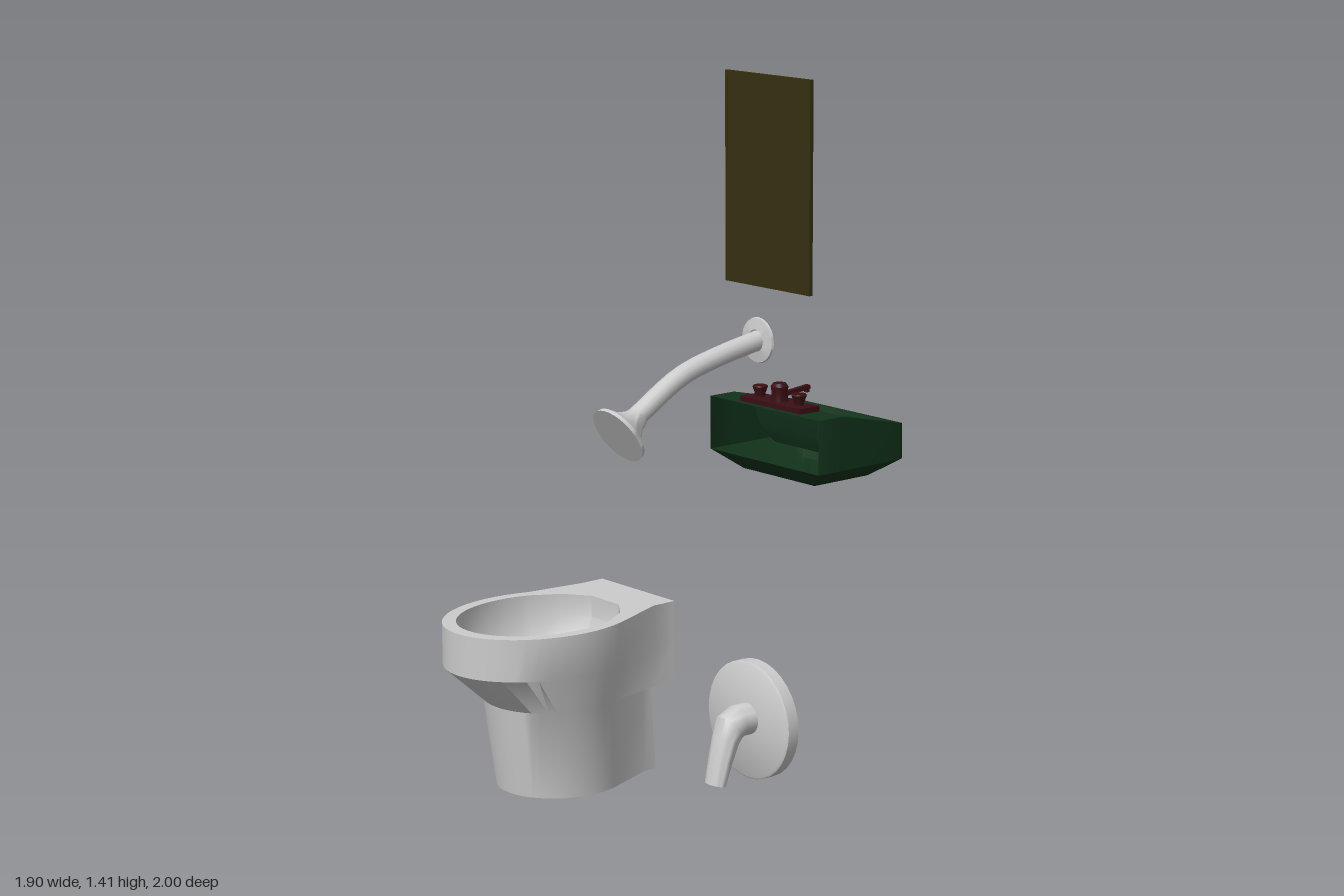
import * as THREE from 'three';
import { toCreasedNormals } from 'three/addons/utils/BufferGeometryUtils.js';

const V = (x, y, z) => new THREE.Vector3(x, y, z);
const material = (color) => new THREE.MeshStandardMaterial({ color, side: THREE.DoubleSide });
const grey = material(0xcccccc);
const green = material(0x12331a);
const red = material(0x3a0f14);
const olive = material(0x343010);

function add(parent, name, geometry, mat, x = 0, y = 0, z = 0) {
  const mesh = new THREE.Mesh(geometry, mat);
  mesh.name = name;
  mesh.position.set(x, y, z);
  parent.add(mesh);
  return mesh;
}

function addGroup(parent, name) {
  const g = new THREE.Group();
  g.name = name;
  parent.add(g);
  return g;
}

// Skins closed rings of equal length; skip(layer, i) leaves a quad open.
function loft(rings, { capStart = false, capEnd = false, skip = () => false, crease = 0.6 } = {}) {
  const pos = [];
  const tri = (...pts) => pts.forEach((p) => pos.push(p.x, p.y, p.z));
  const n = rings[0].length;
  for (let k = 0; k < rings.length - 1; k++) {
    for (let i = 0; i < n; i++) {
      const j = (i + 1) % n;
      const [a, b, c, d] = [rings[k][i], rings[k][j], rings[k + 1][j], rings[k + 1][i]];
      if (skip(k, i) || (a.distanceTo(d) < 1e-5 && b.distanceTo(c) < 1e-5)) continue;
      tri(a, b, c);
      tri(a, c, d);
    }
  }
  const cap = (ring, flip) => {
    const mid = ring.reduce((s, p) => s.add(p), V(0, 0, 0)).divideScalar(n);
    ring.forEach((p, i) => {
      const q = ring[(i + 1) % n];
      if (flip) tri(mid, q, p); else tri(mid, p, q);
    });
  };
  if (capStart) cap(rings[0], true);
  if (capEnd) cap(rings[rings.length - 1], false);
  const g = new THREE.BufferGeometry();
  g.setAttribute('position', new THREE.Float32BufferAttribute(pos, 3));
  return toCreasedNormals(g, crease);
}

const lathe = (pts, seg = 32) =>
  toCreasedNormals(new THREE.LatheGeometry(pts.map((p) => new THREE.Vector2(...p)), seg), 0.6);

function buildToilet(root) {
  const g = addGroup(root, 'toilet');
  const M = 32, cx = -0.781;
  const at = (deg, y, rx, cz, rz) => {
    const a = THREE.MathUtils.degToRad(deg);
    return V(cx + rx * Math.cos(a), y, cz + rz * Math.sin(a));
  };
  const arc = (...args) => Array.from({ length: M + 1 }, (_, i) => at(205 - 230 * i / M, ...args));
  // Rounded front with a square back
  const outer = (y, rx, cz, rz, x0, x1, zk, zb) =>
    [V(x0, y, zb), V(x0, y, zk), ...arc(y, rx, cz, rz), V(x1, y, zk), V(x1, y, zb)];
  const oval = (y, rx, cz, rz) => [at(252, y, rx, cz, rz), at(228, y, rx, cz, rz),
    ...arc(y, rx, cz, rz), at(-48, y, rx, cz, rz), at(-72, y, rx, cz, rz)];
  const block = [-0.918, -0.681, -0.36, -0.415];
  const rings = [
    outer(0, 0.127, -0.19, 0.137, -0.86, -0.702, -0.35, -0.38),
    outer(0.187, 0.14, -0.17, 0.143, -0.87, -0.692, -0.335, -0.358),
    outer(0.187, 0.14, -0.17, 0.143, ...block),
    outer(0.273, 0.17, -0.14, 0.21, ...block),
    outer(0.36, 0.17, -0.14, 0.21, ...block),
    oval(0.36, 0.145, -0.14, 0.18),
    oval(0.315, 0.145, -0.14, 0.18),
    oval(0.265, 0.128, -0.14, 0.158),
    oval(0.225, 0.095, -0.14, 0.115),
    oval(0.205, 0.05, -0.14, 0.06),
  ];
  const last = rings[0].length - 1;
  // The rear of the upper block stays open
  add(g, 'toiletBowl', loft(rings, { capEnd: true, skip: (k, i) => i === last && (k === 2 || k === 3) }), grey);
}

function buildSink(root) {
  const g = addGroup(root, 'sink');
  const slope = (z) => 0.705 - Math.max(0, -0.813 - z) * 0.225;
  const ring = (x0, x1, zb, zf, r, rb, y) => {
    const pts = [];
    const put = (x, z) => pts.push(V(x, typeof y === 'function' ? y(z) : y, z));
    const zk = Math.min(-0.813, zb - rb - 0.002);
    [[x1, zb, rb, 90], [x1, zf, r, 0], [x0, zf, r, -90], [x0, zb, rb, -180]].forEach(([x, z, rad, start], k) => {
      const mx = x === x1 ? x - rad : x + rad;
      const mz = z === zb ? z - rad : z + rad;
      for (let j = 0; j <= 5; j++) {
        const a = THREE.MathUtils.degToRad(start - 18 * j);
        put(mx + rad * Math.cos(a), mz + rad * Math.sin(a));
      }
      if (k === 0) put(x1, zk);
      if (k === 2) put(x0, zk);
    });
    return pts;
  };
  const rings = [
    ring(-0.893, -0.664, -0.79, -0.957, 0.015, 0.002, 0.548),
    ring(-0.95, -0.603, -0.745, -1, 0.022, 0.001, 0.588),
    ring(-0.95, -0.603, -0.745, -1, 0.022, 0.001, slope),
    ring(-0.925, -0.628, -0.826, -0.976, 0.025, 0.02, slope),
    ring(-0.905, -0.648, -0.832, -0.966, 0.025, 0.02, 0.64),
    ring(-0.865, -0.688, -0.845, -0.95, 0.025, 0.02, 0.605),
  ];
  const last = rings[0].length - 1;
  // The wall side is open above the chamfer
  add(g, 'sinkBasin', loft(rings, { capStart: true, capEnd: true, skip: (k, i) => k === 1 && i === last }), green);

  // Faucet
  const f = addGroup(g, 'faucet');
  const cx = -0.776, cz = -0.79;
  add(f, 'faucetPlate', new THREE.BoxGeometry(0.19, 0.012, 0.058), red, cx, 0.709, cz);
  for (const s of [-1, 1]) {
    add(f, 'faucetKnob', lathe([[0.01, 0], [0.01, 0.008], [0.017, 0.026], [0.015, 0.029], [0, 0.029]], 12),
      red, cx + s * 0.062, 0.711, cz);
  }
  add(f, 'faucetBody', lathe([[0.02, 0], [0.017, 0.022], [0.019, 0.036], [0.014, 0.043], [0, 0.043]], 16),
    red, cx, 0.711, cz);
  const spout = add(f, 'faucetSpout', new THREE.BoxGeometry(0.012, 0.009, 0.085), red, cx, 0.731, -0.831);
  spout.rotation.x = 0.1;
  add(f, 'spoutTip', new THREE.CylinderGeometry(0.006, 0.006, 0.014, 10), red, cx, 0.731, -0.868);
}

function buildMirror(root) {
  const g = addGroup(root, 'mirror');
  const w = 0.265, h = 0.446, b = 0.008;
  const rect = (shape, x, y) => shape.moveTo(-x, -y).lineTo(x, -y).lineTo(x, y).lineTo(-x, y).closePath();
  const shape = rect(new THREE.Shape(), w / 2, h / 2);
  shape.holes.push(rect(new THREE.Path(), w / 2 - b, h / 2 - b));
  add(g, 'mirrorFrame', new THREE.ExtrudeGeometry(shape, { depth: 0.009, bevelEnabled: false }), olive, -0.7605, 1.189, -0.748);
  add(g, 'mirrorGlass', new THREE.BoxGeometry(w - 2 * b, h - 2 * b, 0.006), olive, -0.7605, 1.189, -0.743);
}

function buildShower(root) {
  const x = 0.857;
  const head = addGroup(root, 'showerHead');
  const flange = add(head, 'armFlange', lathe([[0.033, 0], [0.032, 0.003], [0.016, 0.006]]), grey, x, 1.268, 0.715);
  flange.rotation.x = Math.PI / 2;
  const path = new THREE.CatmullRomCurve3([V(x, 1.268, 0.715), V(x, 1.254, 0.79), V(x, 1.234, 0.861), V(x, 1.187, 0.942)]);
  add(head, 'showerArm', new THREE.TubeGeometry(path, 12, 0.0145, 14), grey);
  const rose = add(head, 'sprayHead',
    lathe([[0, 0], [0.015, 0], [0.018, 0.012], [0.028, 0.026], [0.044, 0.038], [0.045, 0.044], [0, 0.044]]),
    grey, x, 1.188, 0.937);
  rose.quaternion.setFromUnitVectors(V(0, 1, 0), V(0, -0.514, 0.857).normalize());

  // Valve plate, hollow behind, with a lever
  const valve = addGroup(root, 'showerValve');
  const plate = add(valve, 'valvePlate',
    lathe([[0.083, 0], [0.089, 0], [0.089, 0.019], [0.086, 0.021], [0, 0.021]]), grey, x, 0.705, 0.715);
  plate.rotation.x = Math.PI / 2;
  const hub = add(valve, 'valveHub', new THREE.CylinderGeometry(0.025, 0.025, 0.018, 24, 1, true), grey, x, 0.705, 0.725);
  hub.rotation.x = Math.PI / 2;
  // Each station: y, z, half width, half thickness, downward pitch
  const stations = [
    [0.708, 0.733, 0.024, 0.024, 0], [0.708, 0.756, 0.024, 0.024, 0.15], [0.701, 0.77, 0.024, 0.024, 0.7],
    [0.684, 0.778, 0.023, 0.018, 1.2], [0.655, 0.788, 0.021, 0.015, 1.32], [0.62, 0.798, 0.019, 0.012, 1.4],
  ];
  const rings = stations.map(([y, z, w, t, p]) => Array.from({ length: 20 }, (_, i) => {
    const a = i / 20 * Math.PI * 2, s = t * Math.sin(a);
    return V(x + w * Math.cos(a), y + s * Math.cos(p), z + s * Math.sin(p));
  }));
  add(valve, 'valveLever', loft(rings, { capEnd: true, crease: 0.8 }), grey);
}

export function createModel() {
  const root = new THREE.Group();
  root.name = 'bathroomFixtures';
  buildToilet(root);
  buildSink(root);
  buildMirror(root);
  buildShower(root);
  return root;
}
